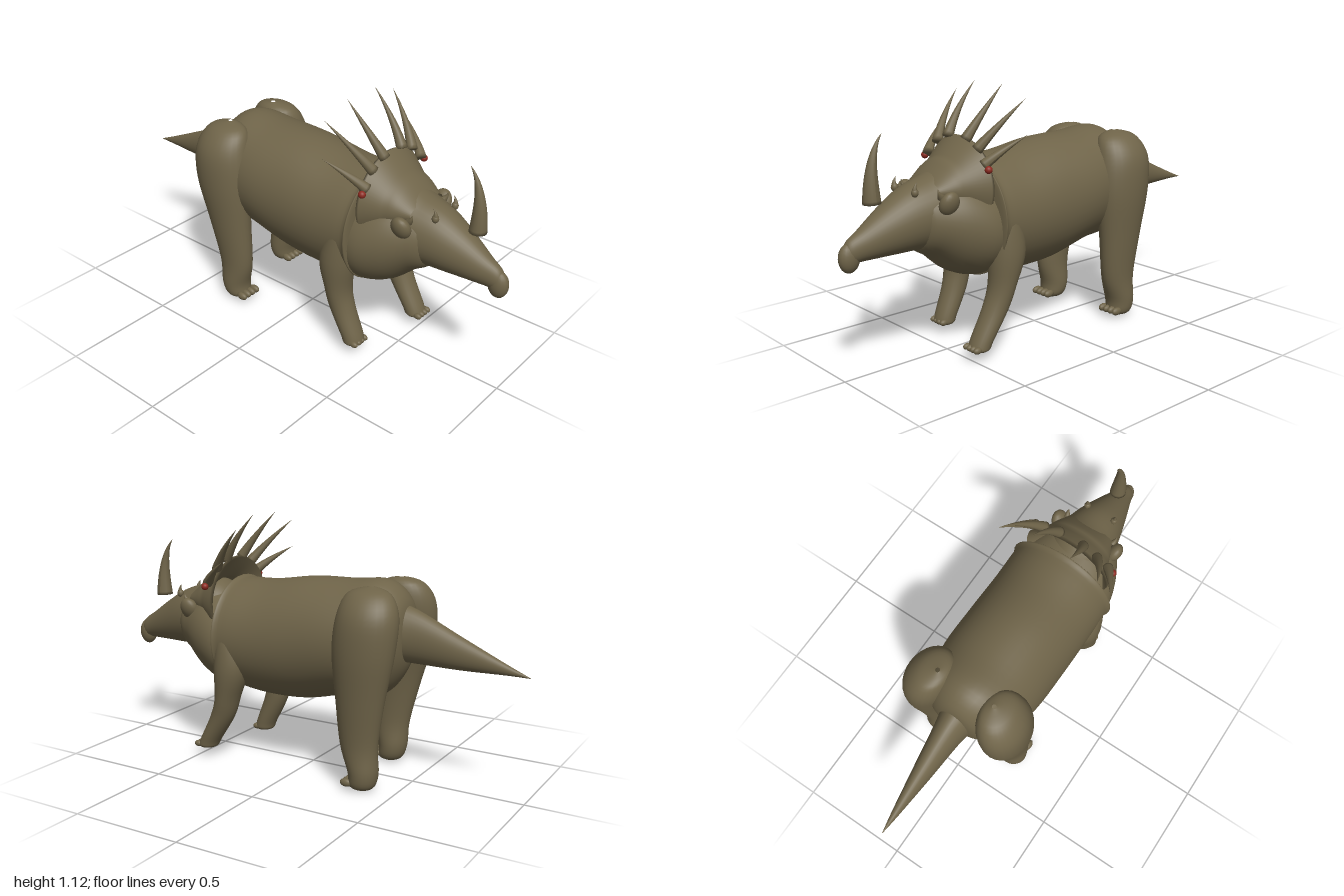
import * as THREE from 'three';

const hide = new THREE.MeshStandardMaterial({ color: 0x6f6449 });
hide.name = 'oliveHide';
const frillHide = hide.clone();
frillHide.name = 'oliveFrill';
frillHide.side = THREE.DoubleSide;
const red = new THREE.MeshStandardMaterial({ color: 0x8c2a20 });
red.name = 'darkRed';

const V = (x, y, z) => new THREE.Vector3(x, y, z);

// Catmull-Rom blend between cross-sections
function blend(rows, t) {
  const i = Math.min(Math.floor(t), rows.length - 2);
  const f = t - i;
  const a = rows[Math.max(i - 1, 0)], b = rows[i], c = rows[i + 1];
  const d = rows[Math.min(i + 2, rows.length - 1)];
  return b.map((_, k) => 0.5 * (2 * b[k] + (c[k] - a[k]) * f
    + (2 * a[k] - 5 * b[k] + 4 * c[k] - d[k]) * f * f
    + (3 * b[k] - a[k] - 3 * c[k] + d[k]) * f * f * f));
}

// Smooth solid from ellipses [x, y, z, radiusX, radiusOther], rising along axis 'y' or 'z'
function loft(rows, axis, sides = 32, steps = 5) {
  const pos = [], index = [];
  const n = (rows.length - 1) * steps;
  for (let i = 0; i <= n; i++) {
    const [x, y, z, r, s] = blend(rows, i / steps);
    for (let j = 0; j < sides; j++) {
      const a = (j / sides) * Math.PI * 2;
      const u = Math.cos(a) * Math.max(r, 0.001), v = Math.sin(a) * Math.max(s, 0.001);
      if (axis === 'z') pos.push(x + u, y + v, z);
      else pos.push(x + u, y, z - v);
      if (i < n) {
        const p = i * sides + j, q = i * sides + (j + 1) % sides;
        index.push(p, q, q + sides, p, q + sides, p + sides);
      }
    }
  }
  const g = new THREE.BufferGeometry();
  g.setAttribute('position', new THREE.Float32BufferAttribute(pos, 3));
  g.setIndex(index);
  g.computeVertexNormals();
  return g;
}

// Tapered curved horn with a flat closed base
function hornGeometry(base, mid, tip, radius, power = 1) {
  const curve = new THREE.QuadraticBezierCurve3(base, mid, tip);
  const n = 20, sides = 14;
  const g = new THREE.TubeGeometry(curve, n, radius, sides);
  const p = g.attributes.position, v = V(0, 0, 0);
  for (let k = 0; k < p.count; k++) {
    const i = Math.floor(k / (sides + 1));
    const c = curve.getPointAt(Math.max(i, 1) / n);
    const s = i === 0 ? 0 : 1 - Math.pow(i / n, power);
    v.fromBufferAttribute(p, k).sub(curve.getPointAt(i / n)).multiplyScalar(s).add(c);
    p.setXYZ(k, v.x, v.y, v.z);
  }
  g.computeVertexNormals();
  return g;
}

// Flared neck shield swept over an arc, rows of [z, radiusX, radiusY]
function frillGeometry(rows) {
  const pos = [], index = [], n = 40;
  rows.forEach(([z, rx, ry], i) => {
    for (let j = 0; j <= n; j++) {
      const a = -0.3 + (j / n) * (Math.PI + 0.6);
      pos.push(Math.cos(a) * rx, 0.715 + Math.sin(a) * ry, z);
      if (i < rows.length - 1 && j < n) {
        const p = i * (n + 1) + j, q = p + n + 1;
        index.push(p, q, p + 1, p + 1, q, q + 1);
      }
    }
  });
  const g = new THREE.BufferGeometry();
  g.setAttribute('position', new THREE.Float32BufferAttribute(pos, 3));
  g.setIndex(index);
  g.computeVertexNormals();
  return g;
}

export function createModel() {
  const model = new THREE.Group();
  model.name = 'hornedDinosaur';
  const add = (name, geometry, material = hide) => {
    const m = new THREE.Mesh(geometry, material);
    m.name = name;
    model.add(m);
    return m;
  };
  const ball = (name, x, y, z, rx, ry, rz, material) => {
    const m = add(name, new THREE.SphereGeometry(1, 18, 12), material);
    m.position.set(x, y, z);
    m.scale.set(rx, ry, rz);
    return m;
  };

  // Barrel body, ending in a collar edge behind the frill
  add('body', loft([
    [0, 0.66, -0.475, 0.01, 0.01], [0, 0.65, -0.455, 0.12, 0.15],
    [0, 0.625, -0.36, 0.21, 0.25], [0, 0.61, -0.2, 0.245, 0.255],
    [0, 0.583, 0, 0.25, 0.275], [0, 0.565, 0.2, 0.25, 0.263],
    [0, 0.572, 0.35, 0.25, 0.25], [0, 0.572, 0.383, 0.24, 0.24],
    [0, 0.572, 0.385, 0.01, 0.01]], 'z', 40));

  // Chest and neck
  add('chest', loft([
    [0, 0.53, 0.3, 0.22, 0.2], [0, 0.535, 0.4, 0.238, 0.215],
    [0, 0.56, 0.5, 0.212, 0.205], [0, 0.585, 0.59, 0.165, 0.155],
    [0, 0.6, 0.66, 0.115, 0.12], [0, 0.6, 0.69, 0.01, 0.01]], 'z', 40));

  // Tapering head and beak
  add('head', loft([
    [0, 0.66, 0.42, 0.1, 0.09], [0, 0.67, 0.5, 0.14, 0.135],
    [0, 0.625, 0.6, 0.135, 0.145], [0, 0.605, 0.7, 0.113, 0.13],
    [0, 0.575, 0.8, 0.083, 0.1], [0, 0.54, 0.9, 0.05, 0.065],
    [0, 0.52, 0.96, 0.03, 0.045], [0, 0.515, 0.98, 0.005, 0.005]], 'z'));
  ball('beakTip', 0, 0.498, 0.955, 0.034, 0.06, 0.045);

  // Tail
  add('tail', loft([
    [0, 0.535, -1, 0.001, 0.001], [0, 0.556, -0.9, 0.017, 0.022],
    [0, 0.598, -0.7, 0.043, 0.07], [0, 0.645, -0.5, 0.068, 0.115],
    [0, 0.66, -0.38, 0.1, 0.13]], 'z'));

  // Frill: brow ridge, flare, rim and back face
  add('frill', frillGeometry([
    [0.6, 0.115, 0.04], [0.54, 0.145, 0.1], [0.515, 0.155, 0.115],
    [0.49, 0.165, 0.125], [0.415, 0.212, 0.2], [0.4, 0.207, 0.193],
    [0.47, 0.15, 0.1]]), frillHide);

  // Nose horn
  add('noseHorn', hornGeometry(V(0, 0.68, 0.842), V(0, 0.89, 0.855), V(0, 0.965, 0.785), 0.038, 1.3));

  // Front leg sections lean forward, rear leg sections broaden to the hip
  const frontLeg = [
    [0.175, 0.035, 0.47, 0.01, 0.01], [0.175, 0.045, 0.465, 0.046, 0.042],
    [0.175, 0.08, 0.45, 0.052, 0.048], [0.178, 0.2, 0.38, 0.057, 0.056],
    [0.183, 0.3, 0.345, 0.065, 0.058], [0.188, 0.45, 0.32, 0.075, 0.08],
    [0.19, 0.62, 0.33, 0.05, 0.05], [0.19, 0.66, 0.33, 0.01, 0.01]];
  const rearLeg = [
    [0.195, 0, -0.36, 0.01, 0.01], [0.195, 0.02, -0.355, 0.053, 0.055],
    [0.195, 0.08, -0.36, 0.066, 0.066], [0.198, 0.2, -0.34, 0.062, 0.085],
    [0.203, 0.4, -0.345, 0.077, 0.11], [0.2, 0.6, -0.355, 0.1, 0.138],
    [0.185, 0.75, -0.365, 0.105, 0.135], [0.16, 0.84, -0.36, 0.07, 0.095],
    [0.14, 0.868, -0.36, 0.01, 0.01]];

  for (const s of [1, -1]) {
    const side = s > 0 ? 'left' : 'right';
    // The right legs are mid-stride, out of step with the left
    const pose = (rows, shift) => rows.map(([x, y, z, rx, rz]) =>
      [x * s, y, z + (s < 0 ? shift * Math.max(0, 1 - y / 0.6) : 0), rx, rz]);
    add(side + 'FrontLeg', loft(pose(frontLeg, -0.09), 'y', 24));
    add(side + 'RearLeg', loft(pose(rearLeg, 0.06), 'y', 28));
    const frontZ = s > 0 ? 0.5 : 0.41, rearZ = s > 0 ? -0.3 : -0.235;
    for (let i = 0; i < 4; i++) {
      const d = (i - 1.5) * 0.023;
      ball(side + 'FrontToe', s * 0.175 + d, 0.055, frontZ, 0.013, 0.014, 0.02);
      ball(side + 'RearToe', s * 0.195 + d * 1.2, 0.035, rearZ, 0.015, 0.018, 0.028);
    }

    // Frill spikes sweeping up and back
    const spikes = [
      [V(0.055, 0.89, 0.435), V(0.085, 1.0, 0.37), V(0.09, 1.12, 0.255)],
      [V(0.125, 0.86, 0.435), V(0.18, 0.96, 0.37), V(0.225, 1.07, 0.25)],
      [V(0.18, 0.81, 0.445), V(0.225, 0.87, 0.39), V(0.28, 0.935, 0.285)]];
    for (const [a, b, c] of spikes) {
      add(side + 'FrillSpike', hornGeometry(V(a.x * s, a.y, a.z), V(b.x * s, b.y, b.z), V(c.x * s, c.y, c.z), 0.025));
    }
    ball(side + 'FrillBead', s * 0.214, 0.803, 0.435, 0.016, 0.016, 0.016, red);

    // Brow horn, cheek flap and cheek horn
    ball(side + 'BrowKnob', s * 0.07, 0.725, 0.69, 0.015, 0.018, 0.015);
    add(side + 'BrowHorn', hornGeometry(V(s * 0.07, 0.725, 0.69), V(s * 0.072, 0.75, 0.695), V(s * 0.073, 0.768, 0.68), 0.014));
    ball(side + 'CheekFlap', s * 0.145, 0.675, 0.58, 0.032, 0.055, 0.045).rotation.z = -s * 0.4;
    add(side + 'CheekHorn', hornGeometry(V(s * 0.12, 0.7, 0.6), V(s * 0.13, 0.72, 0.62), V(s * 0.125, 0.74, 0.62), 0.016));
  }
  return model;
}
